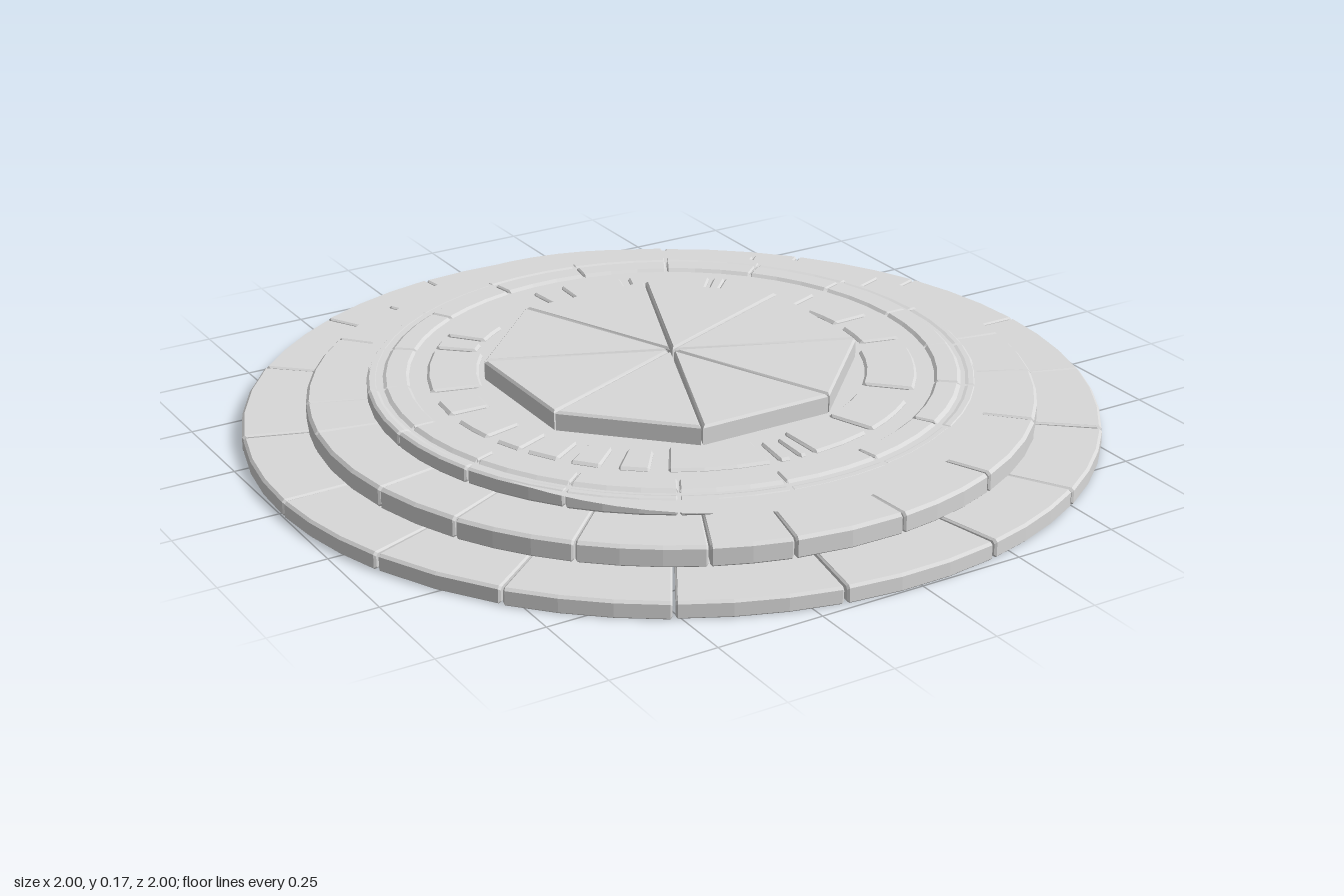
import * as THREE from 'three';

const DEG = Math.PI / 180;

// One curved stone: a bevelled cross-section swept from angle a0 to a1 (degrees)
function stoneGeometry(a0, a1, profile, bevel, step = 7) {
  const cr = profile.reduce((s, p) => s + p[0], 0) / profile.length;
  const cy = profile.reduce((s, p) => s + p[1], 0) / profile.length;
  const pull = (v, c) => v - Math.sign(v - c) * Math.min(bevel, Math.abs(v - c));
  const small = profile.map(([r, y]) => [pull(r, cr), pull(y, cy)]);
  const da = Math.min(bevel / cr / DEG, (a1 - a0) / 4);
  const n = Math.max(1, Math.round((a1 - a0) / step));

  const rings = [[a0, small]];
  for (let i = 0; i <= n; i++) rings.push([a0 + da + (a1 - a0 - 2 * da) * i / n, profile]);
  rings.push([a1, small]);

  const pos = [], idx = [], m = profile.length;
  for (const [a, pts] of rings) {
    for (const [r, y] of pts) pos.push(r * Math.cos(a * DEG), y, r * Math.sin(a * DEG));
  }
  for (let s = 0; s < rings.length - 1; s++) {
    for (let j = 0; j < m; j++) {
      const k = (j + 1) % m, p = s * m, q = p + m;
      idx.push(p + j, p + k, q + k, p + j, q + k, q + j);
    }
  }
  const e = (rings.length - 1) * m;
  for (let j = 1; j < m - 1; j++) idx.push(0, j + 1, j, e, e + j, e + j + 1);

  const g = new THREE.BufferGeometry();
  g.setAttribute('position', new THREE.Float32BufferAttribute(pos, 3));
  g.setIndex(idx);
  g.computeVertexNormals();
  return g;
}

// Rectangular section with bevelled top edges
const section = (ri, ro, y0, y1, b) => [
  [ri, y0], [ro - b / 2, y0], [ro, y0 + b / 2], [ro, y1 - b],
  [ro - b, y1], [ri + b, y1], [ri, y1 - b],
];

// Upper step section: low outer rim, shallow groove, raised inner band, lip underneath
const upperSection = (ro, y1) => [
  [0.58, 0.088], [ro - 0.004, 0.088], [ro, 0.093], [ro, y1 - 0.01], [ro - 0.006, y1 - 0.005],
  [0.69, y1 - 0.005], [0.675, 0.122], [0.664, y1], [0.618, y1], [0.61, 0.123],
];

export function createModel() {
  const model = new THREE.Group();
  const stone = new THREE.MeshStandardMaterial({
    color: 0xd8d8d8, flatShading: true, side: THREE.DoubleSide,
  });
  stone.name = 'greyStone';

  let seed = 7;
  const rand = () => (seed = (seed * 16807) % 2147483647) / 2147483647;

  const add = (parent, geometry, name) => {
    const mesh = new THREE.Mesh(geometry, stone);
    mesh.name = name;
    parent.add(mesh);
  };
  const ring = (name) => {
    const g = new THREE.Group();
    g.name = name;
    model.add(g);
    return g;
  };

  // Complete ring of stones between a sorted list of joint angles
  const course = (name, joints, ro, y1, gap, profile) => {
    const g = ring(name);
    const half = gap / ro / DEG / 2;
    joints.forEach((a, i) => {
      const b = i + 1 < joints.length ? joints[i + 1] : joints[0] + 360;
      const shape = profile(ro - rand() * 0.004, y1 - rand() * 0.003);
      add(g, stoneGeometry(a + half, b - half, shape, 0.004), name + 'Stone');
    });
  };

  // Three stepped courses
  course('lowerStep',
    [-98.6, -78.4, -60, -39, -19.5, 0.6, 20.4, 40.2, 60, 78.4, 100.4, 121, 141.6, 159.4, 178.8, 199.3, 222.5, 241.3],
    1.002, 0.042, 0.006, (ro, y1) => section(0.64, ro, 0, y1, 0.006));
  course('middleStep',
    [-103.7, -83, -64, -44, -20, 11, 27, 46, 67, 86, 103.7, 116, 135, 153.7, 169, 191.6, 203, 229, 244.6],
    0.853, 0.09, 0.004, (ro, y1) => section(0.64, ro, 0.04, y1, 0.007));
  course('upperStep', Array.from({ length: 18 }, (_, i) => i * 20),
    0.71, 0.132, 0.004, upperSection);

  // Loose paving blocks around the centre: [start, end] angles
  const paving = ring('innerPaving');
  const spans = [
    [-45, -20], [-14, -2], [2, 14], [20, 45], [52, 70], [72, 88], [90, 92], [94, 97],
    [99, 122], [126, 133], [137, 144], [147, 155], [157, 164], [167, 178], [182, 190],
    [196, 220], [222, 227], [230, 241], [264, 268], [272, 288], [290, 311], [312, 315],
  ];
  for (const [a, b] of spans) {
    const inner = b - a > 14 ? 0.45 : 0.47;
    add(paving, stoneGeometry(a, b, section(inner, 0.57, 0.09, 0.131, 0.006), 0.005), 'pavingBlock');
  }
  // Sunken block lying just under the floor
  add(paving, stoneGeometry(243, 262, section(0.45, 0.57, 0.09, 0.121, 0.006), 0.005), 'sunkenBlock');

  // Thin oval floor filling the gaps
  const floor = new THREE.CircleGeometry(1, 64);
  floor.rotateX(-Math.PI / 2);
  floor.scale(0.68, 1, 0.8);
  floor.translate(0, 0.124, 0);
  add(model, floor, 'floorDisc');

  // Octagonal centre slab of eight wedges
  const slab = ring('centreSlab');
  const tip = 0.018, rim = 0.4;
  const w = (rim - tip) * Math.tan(22.5 * DEG);
  const wedge = new THREE.Shape([
    new THREE.Vector2(tip, 0), new THREE.Vector2(rim, -w), new THREE.Vector2(rim, w),
  ]);
  for (let i = 0; i < 8; i++) {
    const g = new THREE.ExtrudeGeometry(wedge, {
      depth: 0.066, bevelEnabled: true, bevelSize: 0.006, bevelThickness: 0.006, bevelSegments: 1,
    });
    g.rotateX(-Math.PI / 2);
    g.translate(0, 0.098, 0);
    g.rotateY(i * 45 * DEG);
    add(slab, g, 'slabWedge');
  }

  return model;
}
